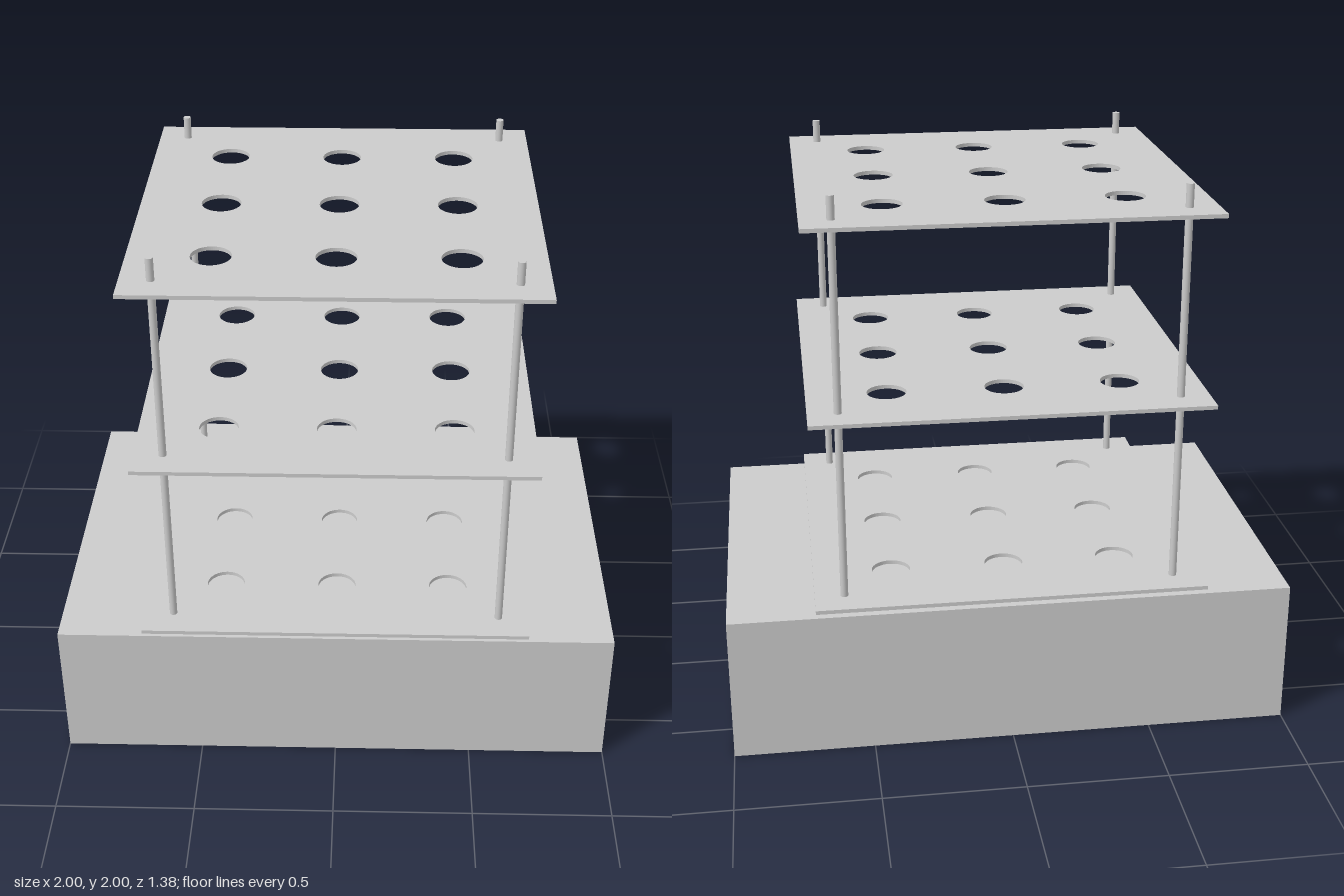
import * as THREE from 'three';

const BASE_HEIGHT = 0.53;
const TOP = 2;
const PLATE = { half: 0.692, thickness: 0.014, heights: [0.56, 1.246, 1.912] };
const HOLE = { radius: 0.069, spacing: 0.411 };
const ROD = { radius: 0.0135, offset: 0.588 };

// Square plate with a 3 x 3 grid of round holes, lying flat and centred on its thickness
function plateGeometry() {
  const h = PLATE.half;
  const shape = new THREE.Shape([
    new THREE.Vector2(-h, -h), new THREE.Vector2(h, -h),
    new THREE.Vector2(h, h), new THREE.Vector2(-h, h),
  ]);
  for (const i of [-1, 0, 1]) {
    for (const j of [-1, 0, 1]) {
      const hole = new THREE.Path();
      hole.absarc(i * HOLE.spacing, j * HOLE.spacing, HOLE.radius, 0, Math.PI * 2, true);
      shape.holes.push(hole);
    }
  }
  return new THREE.ExtrudeGeometry(shape, { depth: PLATE.thickness, bevelEnabled: false, curveSegments: 32 })
    .translate(0, 0, -PLATE.thickness / 2)
    .rotateX(-Math.PI / 2);
}

export function createModel() {
  const group = new THREE.Group();
  const material = new THREE.MeshStandardMaterial({ color: 0xcccccc });
  const add = (name, geometry, x, y, z) => {
    const mesh = new THREE.Mesh(geometry, material);
    mesh.name = name;
    mesh.position.set(x, y, z);
    group.add(mesh);
  };

  // Solid block base
  add('base', new THREE.BoxGeometry(2, BASE_HEIGHT, 1.355), 0, BASE_HEIGHT / 2, 0);

  // Three perforated shelves
  const plate = plateGeometry();
  const plateNames = ['lowerPlate', 'middlePlate', 'upperPlate'];
  PLATE.heights.forEach((y, i) => add(plateNames[i], plate, 0, y, 0));

  // Four corner rods standing on the base
  const length = TOP - BASE_HEIGHT;
  const rod = new THREE.CylinderGeometry(ROD.radius, ROD.radius, length, 24);
  for (const x of [-1, 1]) {
    for (const z of [-1, 1]) {
      const name = (z > 0 ? 'front' : 'back') + (x > 0 ? 'Left' : 'Right') + 'Rod';
      add(name, rod, x * ROD.offset, BASE_HEIGHT + length / 2, z * ROD.offset);
    }
  }
  return group;
}
